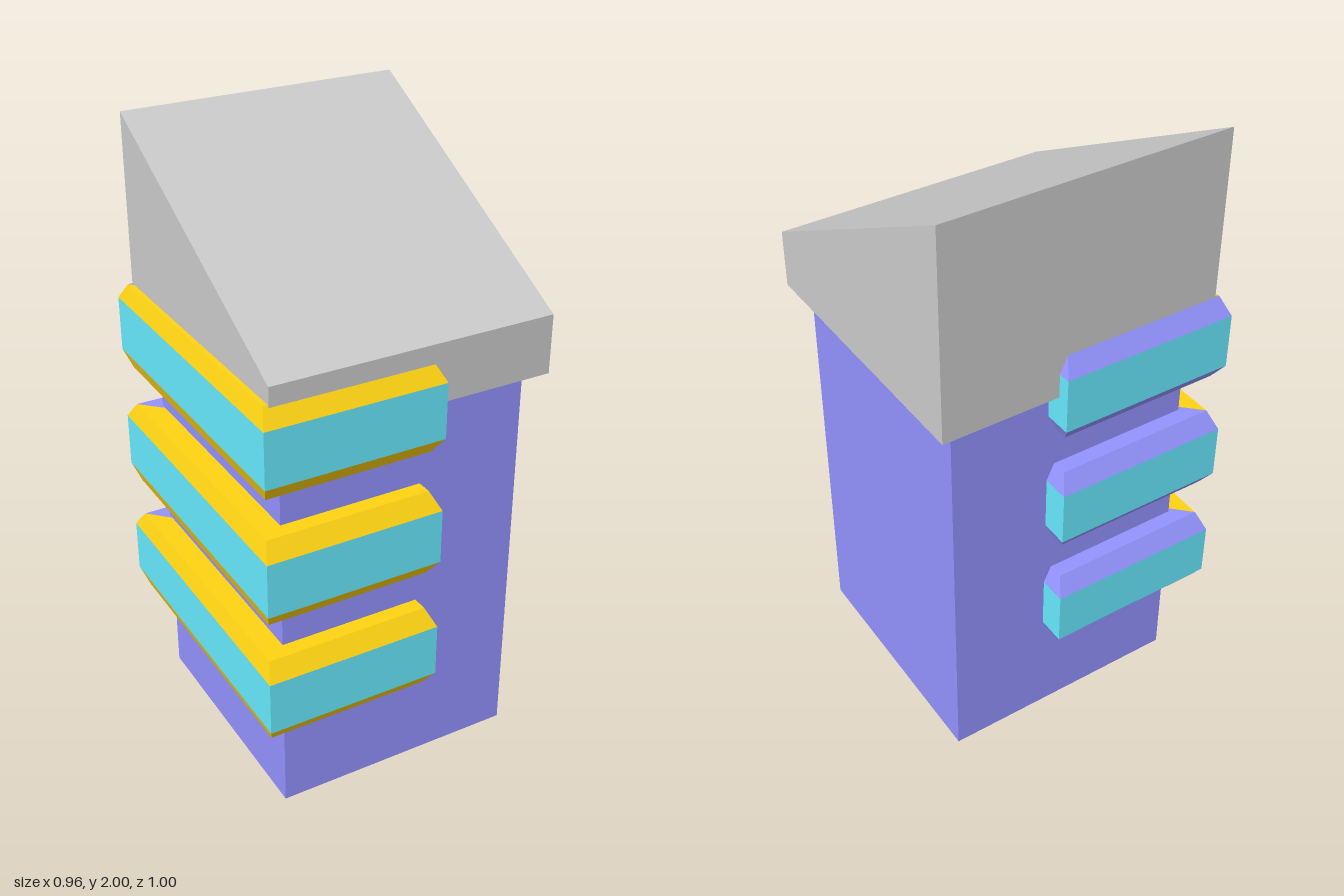
import * as THREE from 'three';

const material = (color) => new THREE.MeshStandardMaterial({ color, flatShading: true, side: THREE.DoubleSide });

// Collects flat quads (corners counter-clockwise from outside) into one mesh
function quadMesh(name, quads, mat) {
  const positions = quads.flatMap(([a, b, c, d]) => [a, b, c, a, c, d].flat());
  const geometry = new THREE.BufferGeometry();
  geometry.setAttribute('position', new THREE.Float32BufferAttribute(positions, 3));
  geometry.computeVertexNormals();
  const mesh = new THREE.Mesh(geometry, mat);
  mesh.name = name;
  return mesh;
}

// C-shaped bevelled band wrapping front, right side and back; base = underside height
function createBand(base, mats) {
  const plan = (end, side, z) => [[end, z], [side, z], [side, -z], [end, -z]];
  const levels = [0, 0.055, 0.235, 0.29].map((h, i) => {
    const bevelled = i === 0 || i === 3;
    const end = bevelled ? 0.075 : 0.1;
    const at = ([x, z]) => [x, base + h, z];
    return {
      outer: (bevelled ? plan(end, -0.46, 0.46) : plan(end, -0.48, 0.5)).map(at),
      inner: plan(end, -0.30, 0.30).map(at),
    };
  });
  const faces = [], trim = [], backTrim = [];

  for (let k = 0; k < 3; k++) {
    const { outer: o, inner: n } = levels[k];
    const { outer: p, inner: m } = levels[k + 1];
    const bucket = (back) => (k === 1 ? faces : back ? backTrim : trim);
    // outer and inner walls of each run
    for (let i = 0; i < 3; i++) {
      bucket(i === 2).push([o[i + 1], o[i], p[i], p[i + 1]]);
      backTrim.push([n[i], n[i + 1], m[i + 1], m[i]]);
    }
    // end caps
    bucket(false).push([o[0], n[0], m[0], p[0]]);
    bucket(true).push([n[3], o[3], p[3], m[3]]);
  }
  // flat top and underside
  const low = levels[0], high = levels[3];
  for (let i = 0; i < 3; i++) {
    const bucket = i === 2 ? backTrim : trim;
    bucket.push([high.outer[i + 1], high.outer[i], high.inner[i], high.inner[i + 1]]);
    bucket.push([low.outer[i], low.outer[i + 1], low.inner[i + 1], low.inner[i]]);
  }

  const band = new THREE.Group();
  band.name = 'band';
  band.add(
    quadMesh('bandFaces', faces, mats.cyan),
    quadMesh('bandTrim', trim, mats.gold),
    quadMesh('bandBackTrim', backTrim, mats.blue),
  );
  return band;
}

export function createModel() {
  const group = new THREE.Group();
  const mats = {
    blue: material(0x9393ff),
    cyan: material(0x68eaff),
    gold: material(0xffd312),
    grey: material(0xcccccc),
  };

  // Tower walls: thin shell, open underneath
  const corners = [[0.425, 0.41], [-0.39, 0.41], [-0.39, -0.41], [0.425, -0.41]];
  const walls = corners.map(([ax, az], i) => {
    const [bx, bz] = corners[(i + 1) % 4];
    return [[bx, 0, bz], [ax, 0, az], [ax, 1.32, az], [bx, 1.32, bz]];
  });
  group.add(quadMesh('towerWalls', walls, mats.blue));

  // Three evenly spaced bands
  for (const base of [0.32, 0.742, 1.165]) group.add(createBand(base, mats));

  // Lean-to roof block: side outline extruded across the width
  const outline = new THREE.Shape([[-0.465, 1.32], [0.46, 1.32], [0.46, 2], [-0.465, 1.51]]
    .map(([x, y]) => new THREE.Vector2(x, y)));
  const roofGeometry = new THREE.ExtrudeGeometry(outline, { depth: 0.925, bevelEnabled: false });
  roofGeometry.rotateY(Math.PI / 2).translate(-0.445, 0, 0);
  const roof = new THREE.Mesh(roofGeometry, mats.grey);
  roof.name = 'roof';
  group.add(roof);

  return group;
}
